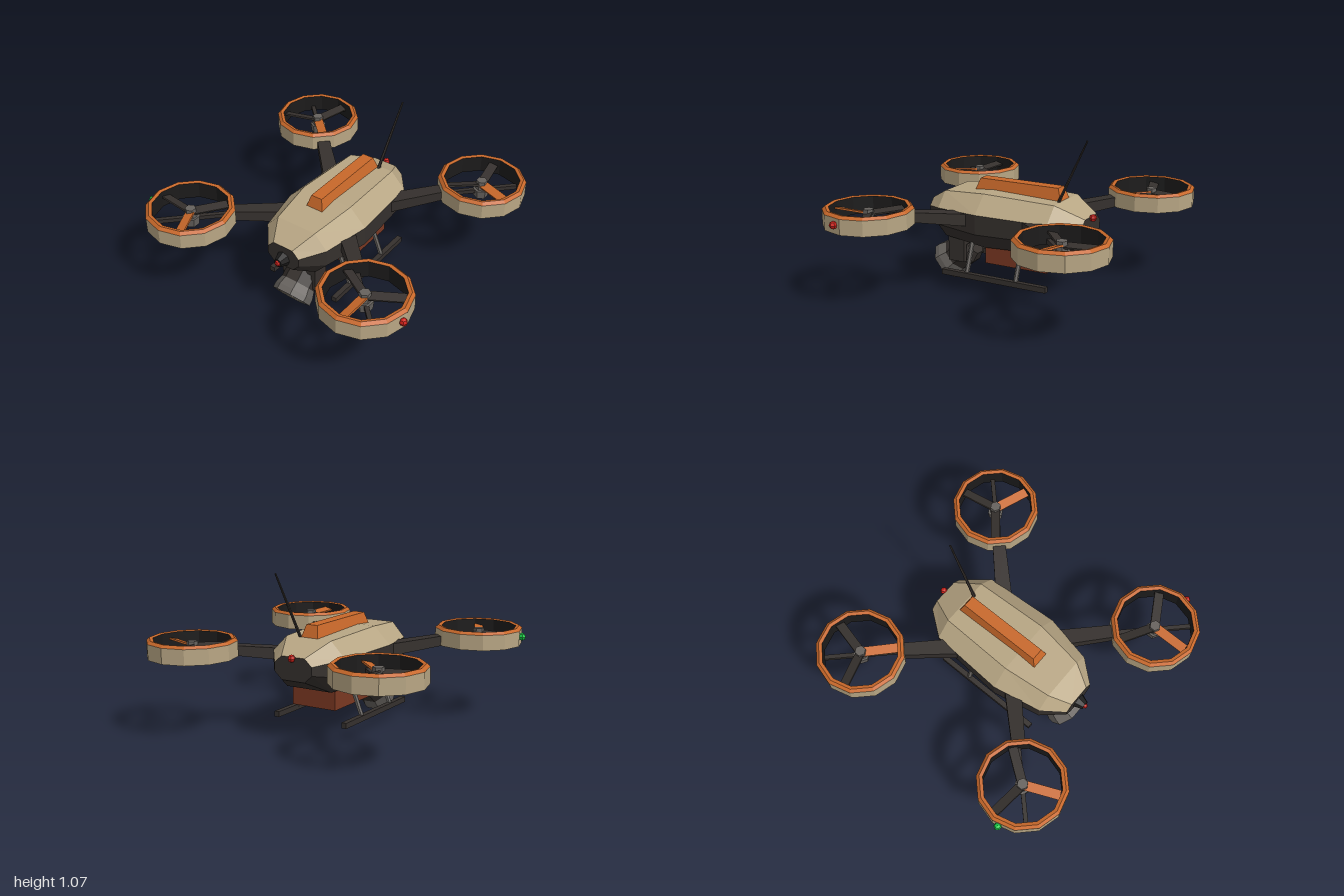
import * as THREE from 'three';

const mat = (color) => new THREE.MeshStandardMaterial({ color, flatShading: true, side: THREE.DoubleSide });
const V = (x, y, z) => new THREE.Vector3(x, y, z);

export function createModel() {
  const model = new THREE.Group();
  const tan = mat(0xb8a684), dark = mat(0x35302d), black = mat(0x1c1b1b), orange = mat(0xc8682a);
  const brown = mat(0x7a3822), grey = mat(0x66625e), glass = mat(0x9c9484);
  const red = mat(0xd02018), green = mat(0x18d048);

  const add = (parent, name, geometry, material, x = 0, y = 0, z = 0) => {
    const mesh = new THREE.Mesh(geometry, material);
    mesh.name = name;
    mesh.position.set(x, y, z);
    parent.add(mesh);
    return mesh;
  };

  // Tapered bar from a to b; r0 and r1 are half-widths, flat scales the height
  const bar = (parent, name, a, b, r0, r1, sides, material, flat = 1) => {
    const k = sides === 4 ? Math.SQRT2 : 1;
    const geo = new THREE.CylinderGeometry(r1 * k, r0 * k, a.distanceTo(b), sides);
    if (sides === 4) geo.rotateY(Math.PI / 4);
    geo.rotateX(Math.PI / 2).scale(1, flat, 1);
    const mesh = add(parent, name, geo, material);
    mesh.position.copy(a).add(b).multiplyScalar(0.5);
    mesh.lookAt(b);
    return mesh;
  };

  // Hull: octagonal sections [z, width scale, height scale] from back to front
  const ring = [[0.3, 0.065], [0.185, 0.18], [-0.185, 0.18], [-0.3, 0.065],
    [-0.3, -0.065], [-0.185, -0.18], [0.185, -0.18], [0.3, -0.065]];
  const stations = [[-0.545, 0.46, 0.42], [-0.37, 0.9, 0.91], [0.13, 1, 1], [0.45, 0.78, 0.86], [0.59, 0.4, 0.42]];
  const point = (i, j) => {
    const [z, sx, sy] = stations[i], [x, y] = ring[j % 8];
    return [x * sx, 0.485 + y * sy, z];
  };
  const hull = (first, last, caps) => {
    const pos = [];
    for (let i = 0; i < stations.length - 1; i++) {
      for (let j = first; j < last; j++) {
        const a = point(i, j), b = point(i, j + 1), c = point(i + 1, j + 1), d = point(i + 1, j);
        pos.push(...a, ...b, ...c, ...a, ...c, ...d);
      }
    }
    if (caps) {
      for (let j = 1; j < 7; j++) {
        pos.push(...point(4, 0), ...point(4, j), ...point(4, j + 1));
        pos.push(...point(0, 0), ...point(0, j + 1), ...point(0, j));
      }
    }
    const geo = new THREE.BufferGeometry();
    geo.setAttribute('position', new THREE.Float32BufferAttribute(pos, 3));
    geo.computeVertexNormals();
    return geo;
  };
  add(model, 'upperHull', hull(0, 3, false), tan);
  add(model, 'lowerHull', hull(3, 8, true), dark);

  // Ridge on the roof, narrowed towards its top
  const ridge = new THREE.BoxGeometry(0.13, 0.09, 0.635);
  const rp = ridge.attributes.position;
  for (let i = 0; i < rp.count; i++) {
    if (rp.getY(i) > 0) rp.setXYZ(i, rp.getX(i) * 0.62, rp.getY(i), rp.getZ(i) * 0.9);
  }
  ridge.computeVertexNormals();
  add(model, 'roofRidge', ridge, orange, 0, 0.683, -0.047);

  // Nose, marker lights, antenna and battery
  const lightBall = (name, material, r, x, y, z) => add(model, name, new THREE.SphereGeometry(r, 6, 4), material, x, y, z);
  bar(model, 'noseSensor', V(0, 0.465, 0.58), V(0, 0.465, 0.645), 0.055, 0.03, 8, black);
  lightBall('noseLight', red, 0.02, 0, 0.465, 0.645);
  lightBall('tailLight', red, 0.025, 0, 0.555, -0.56);
  lightBall('leftLight', red, 0.026, 0.974, 0.575, 0.725);
  lightBall('rightLight', green, 0.026, -0.974, 0.575, 0.725);
  bar(model, 'antenna', V(0.072, 0.64, -0.35), V(0.11, 1.07, -0.563), 0.011, 0.006, 6, dark);
  add(model, 'batteryPack', new THREE.BoxGeometry(0.32, 0.17, 0.45), brown, 0, 0.275, -0.09);

  // Landing gear
  for (const s of [1, -1]) {
    bar(model, 'skid', V(s * 0.255, 0.12, -0.365), V(s * 0.255, 0.12, 0.405), 0.018, 0.018, 4, dark);
    for (const z of [0.225, -0.14]) {
      bar(model, 'skidStrut', V(s * 0.165, 0.35, z), V(s * 0.252, 0.125, z), 0.016, 0.016, 6, grey);
    }
  }

  // Camera yoke and tilted camera
  add(model, 'cameraMount', new THREE.BoxGeometry(0.22, 0.07, 0.12), dark, 0, 0.305, 0.38);
  for (const s of [1, -1]) add(model, 'yokeArm', new THREE.BoxGeometry(0.03, 0.17, 0.12), dark, s * 0.115, 0.24, 0.38);
  const camera = new THREE.Group();
  camera.name = 'camera';
  camera.position.set(0, 0.1, 0.526);
  camera.lookAt(0, 0.1 - 0.61, 0.526 + 0.79);
  model.add(camera);
  const drum = (name, z0, z1, r0, r1, material) => {
    const geo = new THREE.CylinderGeometry(r1, r0, z1 - z0, 8).rotateY(Math.PI / 8).rotateX(Math.PI / 2);
    add(camera, name, geo, material, 0, 0, (z0 + z1) / 2);
  };
  drum('cameraBack', -0.26, -0.2, 0.085, 0.118, dark);
  drum('cameraBody', -0.2, -0.09, 0.118, 0.118, dark);
  drum('lensBarrel', -0.12, -0.04, 0.11, 0.134, grey);
  drum('lensHood', -0.04, 0, 0.134, 0.134, grey);
  drum('lensGlass', -0.01, 0.004, 0.1, 0.1, glass);

  // Ducted rotors on four arms: sign of x, sign of z, angle of the orange blade
  const lathe = (...pts) => new THREE.LatheGeometry(pts.map(([r, y]) => new THREE.Vector2(r, y)), 12);
  const rotors = [[-1, -1, 43], [1, -1, 20], [-1, 1, 66], [1, 1, 90]];
  for (const [sx, sz, angle] of rotors) {
    bar(model, 'arm', V(sx * 0.2, 0.495, sz * 0.2), V(sx * 0.49, 0.545, sz * 0.49), 0.055, 0.043, 4, dark, 0.75);

    const rotor = new THREE.Group();
    rotor.name = 'rotor';
    rotor.position.set(sx * 0.68, 0, sz * 0.68);
    model.add(rotor);
    add(rotor, 'ductWall', lathe([0.292, 0.515], [0.292, 0.617]), tan);
    add(rotor, 'ductRim', lathe([0.292, 0.617], [0.272, 0.635], [0.25, 0.63]), orange);
    add(rotor, 'ductLiner', lathe([0.25, 0.63], [0.25, 0.515]), black);
    add(rotor, 'ductLowerRim', lathe([0.25, 0.515], [0.292, 0.515]), brown);
    bar(rotor, 'ductStrut', V(-sx * 0.18, 0.535, -sz * 0.18), V(sx * 0.18, 0.535, sz * 0.18), 0.014, 0.014, 4, dark);
    add(rotor, 'motor', new THREE.CylinderGeometry(0.055, 0.048, 0.06, 6), grey, 0, 0.52, 0);
    add(rotor, 'hub', new THREE.CylinderGeometry(0.036, 0.04, 0.07, 6), grey, 0, 0.578, 0);
    for (let k = 0; k < 3; k++) {
      const geo = new THREE.BoxGeometry(0.225, 0.012, 0.062).rotateX(0.25).translate(0.13, 0, 0);
      const blade = add(rotor, 'blade', geo, k ? dark : orange, 0, 0.585, 0);
      blade.rotation.y = -THREE.MathUtils.degToRad(angle + k * 120);
    }
  }
  return model;
}
